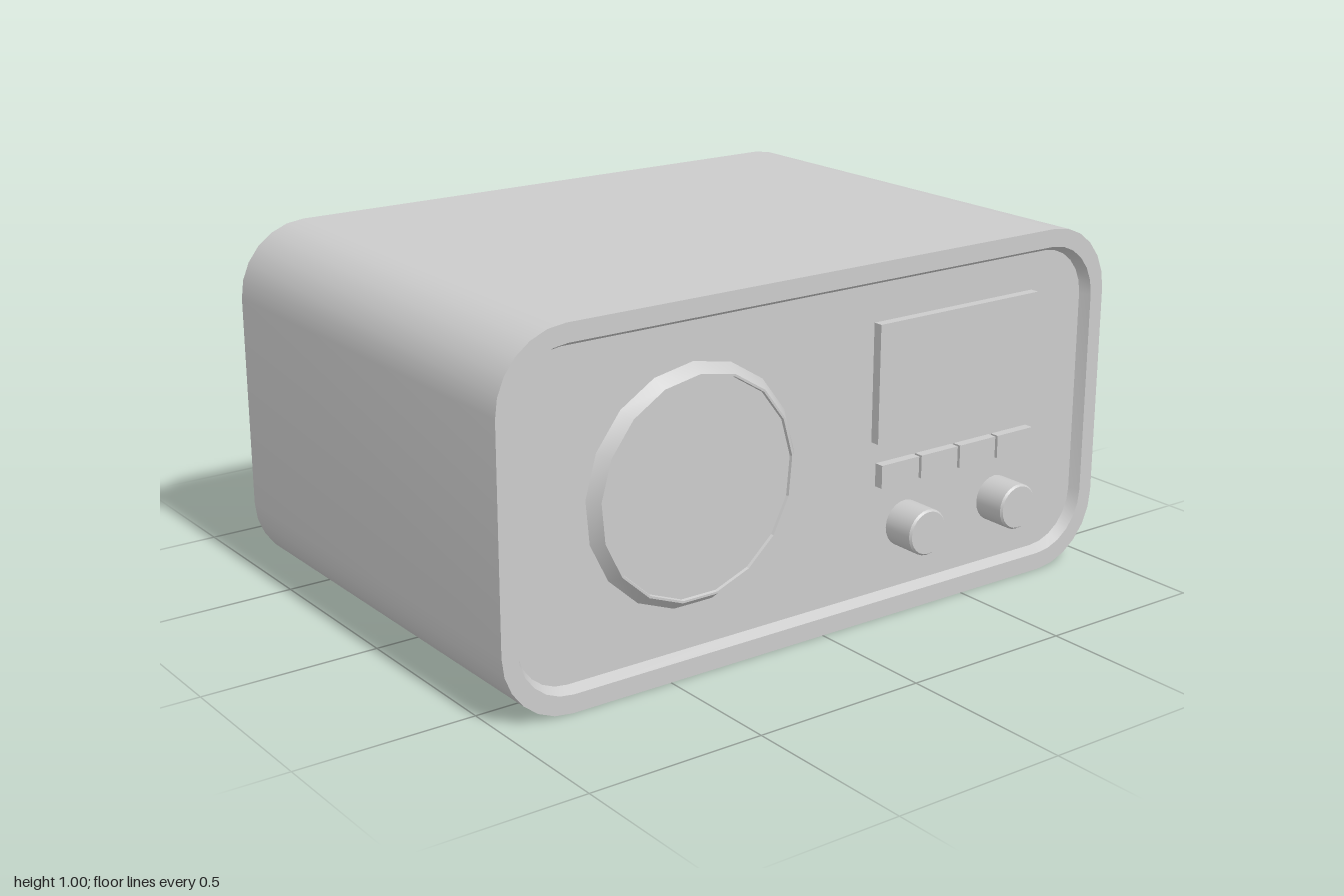
import * as THREE from 'three';
import { toCreasedNormals } from 'three/addons/utils/BufferGeometryUtils.js';

const FLOOR = 0.6; // x of the recessed panel
const material = new THREE.MeshStandardMaterial({ color: 0xcccccc });

// Rounded rectangle in the y-z plane at a given x, counter-clockwise seen from +x
function roundedRing(x, halfY, halfZ, radius, steps = 6) {
  const points = [];
  [[1, 1], [-1, 1], [-1, -1], [1, -1]].forEach(([u, v], corner) => {
    for (let i = 0; i <= steps; i++) {
      const a = (corner + i / steps) * Math.PI / 2;
      points.push([
        x,
        0.5 + v * (halfY - radius) + radius * Math.sin(a),
        -(u * (halfZ - radius) + radius * Math.cos(a)),
      ]);
    }
  });
  return points;
}

// Skin joining successive rings, closed by a flat cap at both ends
function loft(rings) {
  const n = rings[0].length;
  const index = [];
  for (let r = 0; r < rings.length - 1; r++) {
    for (let i = 0; i < n; i++) {
      const a = r * n + i, b = r * n + (i + 1) % n;
      index.push(a, b, b + n, a, b + n, a + n);
    }
  }
  const last = (rings.length - 1) * n;
  for (let i = 1; i < n - 1; i++) {
    index.push(0, i + 1, i);
    index.push(last, last + i, last + i + 1);
  }
  const geometry = new THREE.BufferGeometry();
  geometry.setAttribute('position', new THREE.Float32BufferAttribute(rings.flat(2), 3));
  geometry.setIndex(index);
  return toCreasedNormals(geometry, 0.6);
}

// Turned part whose axis points along +x; profile is [radius, height above panel]
function turned(profile, sides, crease) {
  const points = profile.map(([r, h]) => new THREE.Vector2(r, h));
  const geometry = new THREE.LatheGeometry(points, sides, -Math.PI / 2);
  geometry.rotateZ(-Math.PI / 2);
  geometry.deleteAttribute('normal');
  geometry.deleteAttribute('uv');
  return toCreasedNormals(geometry, crease);
}

export function createModel() {
  const model = new THREE.Group();

  function add(name, geometry, x = 0, y = 0, z = 0) {
    const mesh = new THREE.Mesh(geometry, material);
    mesh.name = name;
    mesh.position.set(x, y, z);
    model.add(mesh);
  }

  // Cabinet with a rim and a slightly tapered recess
  add('cabinet', loft([
    roundedRing(-0.7, 0.5, 1, 0.2),
    roundedRing(0.63, 0.5, 1, 0.2),
    roundedRing(0.63, 0.45, 0.955, 0.16),
    roundedRing(FLOOR, 0.435, 0.94, 0.145),
  ]));

  // Faceted speaker: sloped surround with a shallow inset face
  add('speaker', turned(
    [[0.325, 0], [0.3, 0.033], [0.294, 0.033], [0.292, 0.025], [0, 0.025]], 17, 0.3,
  ), FLOOR, 0.505, 0.41);

  // Display and the row of buttons below it
  add('display', new THREE.BoxGeometry(0.027, 0.33, 0.57), FLOOR + 0.0135, 0.665, -0.465);
  for (let i = 0; i < 4; i++) {
    add('button' + (i + 1), new THREE.BoxGeometry(0.027, 0.065, 0.132),
      FLOOR + 0.0135, 0.405, -0.263 - i * 0.141);
  }

  // Knobs with a small chamfer
  for (const [name, z] of [['frontKnob', -0.305], ['rearKnob', -0.64]]) {
    add(name, turned([[0.065, 0], [0.065, 0.094], [0.06, 0.1], [0, 0.1]], 24, 0.6), FLOOR, 0.245, z);
  }

  return model;
}
